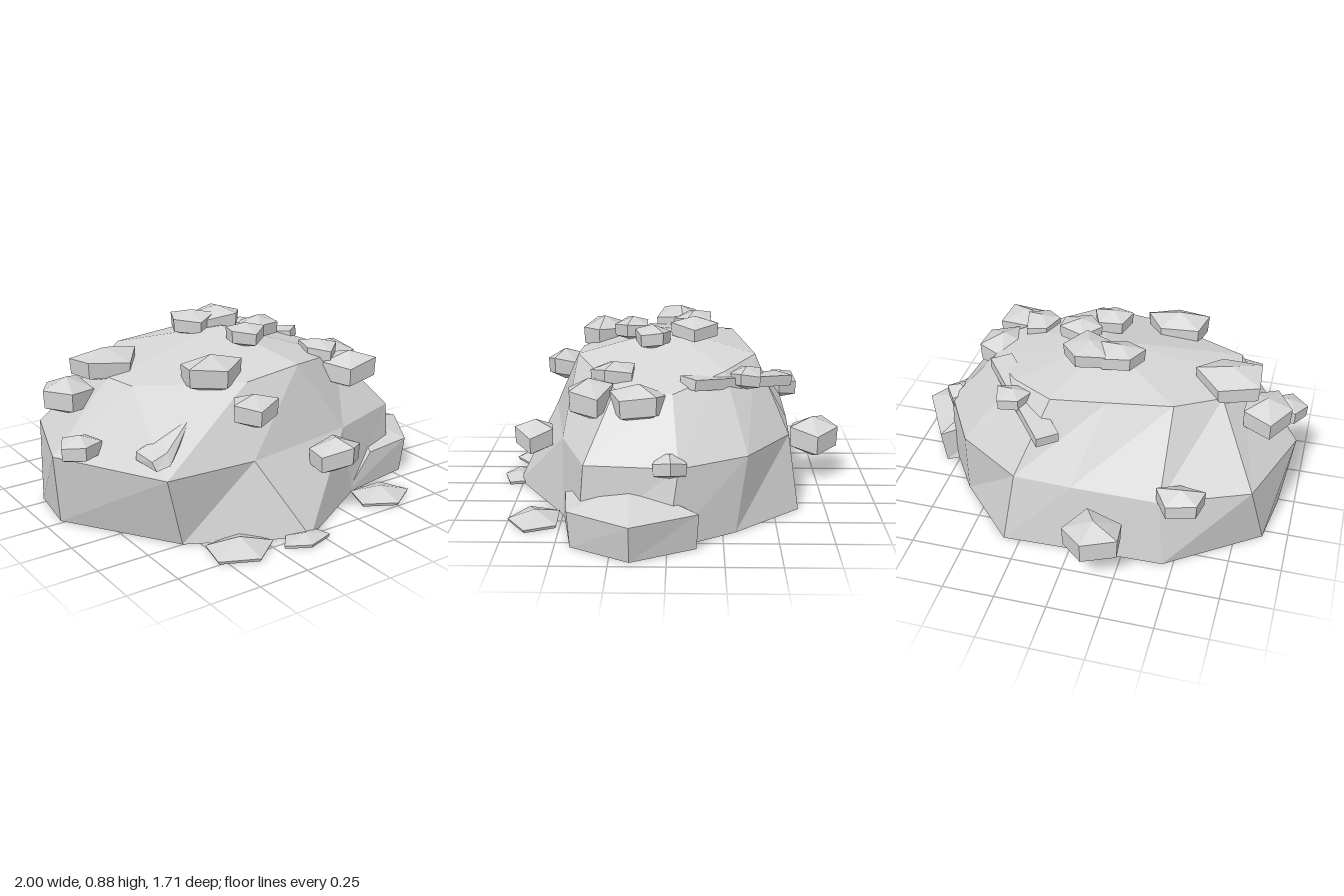
import * as THREE from 'three';

const stone = new THREE.MeshStandardMaterial({ color: 0xd5d5d5 });
stone.name = 'grey stone';

// Faceted solid: stacked rings of [x, y, z] (running -x, +z, +x, -z), closed by a top and a bottom point
function loft(name, rings, top, bottom) {
  const pos = [];
  const tri = (...corners) => corners.forEach((c) => pos.push(...c));
  const n = rings[0].length;
  for (let i = 0; i < n; i++) {
    const j = (i + 1) % n;
    for (let k = 0; k < rings.length - 1; k++) {
      const lo = rings[k], hi = rings[k + 1];
      tri(lo[i], lo[j], hi[j]);
      tri(lo[i], hi[j], hi[i]);
    }
    const last = rings[rings.length - 1];
    tri(last[i], last[j], top);
    tri(rings[0][j], rings[0][i], bottom);
  }
  const geo = new THREE.BufferGeometry();
  geo.setAttribute('position', new THREE.Float32BufferAttribute(pos, 3));
  geo.computeVertexNormals();
  const mesh = new THREE.Mesh(geo, stone);
  mesh.name = name;
  return mesh;
}

const atHeight = (y, points) => points.map(([x, z]) => [x, y, z]);

// Five-cornered outline around x, z, turned by an angle in degrees; wobble tilts the corners up and down
function pentagon(x, y, z, rx, rz, degrees, wobble = 0) {
  return Array.from({ length: 5 }, (_, i) => {
    const a = THREE.MathUtils.degToRad(degrees + i * 72);
    return [x - Math.cos(a) * rx, y + wobble * Math.sin(degrees + i * 2.9), z + Math.sin(a) * rz];
  });
}

// Chunk with near-vertical sides, a low pointed top and a pointed underside
function chunk(name, [x, y0, y1, z, rx, rz, degrees]) {
  const h = y1 - y0;
  return loft(name, [
    pentagon(x, y0 + h * 0.27, z, rx * 0.96, rz * 0.96, degrees, h * 0.07),
    pentagon(x, y0 + h * 0.74, z, rx, rz, degrees, h * 0.09),
  ], [x, y1, z], [x, y0, z]);
}

// Low flake resting on the ground
function flake(name, [x, h, z, rx, rz, degrees]) {
  return loft(name, [
    pentagon(x, 0, z, rx * 0.95, rz * 0.95, degrees),
    pentagon(x, 0.015, z, rx, rz, degrees),
  ], [x, h, z], [x, 0, z]);
}

export function createModel() {
  const model = new THREE.Group();
  model.name = 'rockMound';

  // Main boulder
  const base = atHeight(0, [
    [-0.92, -0.02], [-0.57, 0.5], [-0.05, 0.77], [0.42, 0.5], [0.74, 0.4],
    [0.82, 0], [0.62, -0.31], [0.33, -0.62], [0, -0.61], [-0.45, -0.6], [-0.88, -0.29]]);
  const waist = atHeight(0.36, [
    [-0.97, 0.04], [-0.68, 0.56], [-0.24, 0.59], [0.35, 0.5], [0.74, 0.37],
    [0.78, -0.05], [0.6, -0.36], [0.28, -0.57], [0, -0.58], [-0.42, -0.58], [-0.82, -0.41]]);
  const shoulder = [
    [-0.68, 0.69, 0.05], [-0.65, 0.69, 0.22], [-0.18, 0.68, 0.44], [0.11, 0.71, 0.44],
    [0.5, 0.64, 0.24], [0.55, 0.63, -0.02], [0.36, 0.69, -0.26], [0.14, 0.72, -0.41], [-0.12, 0.72, -0.37],
    [-0.42, 0.72, -0.32], [-0.62, 0.69, -0.16]];
  model.add(loft('boulder', [base, waist, shoulder], [-0.02, 0.81, 0], [0, 0, 0]));

  // Broad slab leaning on the left side
  model.add(loft('sideSlab', [
    atHeight(0, [[0.42, 0.1], [0.39, 0.5], [0.8, 0.43], [0.96, 0.16], [0.81, -0.13]]),
    [[0.55, 0.18, 0.1], [0.56, 0.17, 0.47], [0.82, 0.175, 0.44], [1, 0.175, 0.16], [0.83, 0.17, -0.14]],
  ], [0.68, 0.26, 0.17], [0.7, 0, 0.17]));

  // Chunks: x, bottom, top, z, x radius, z radius, turn
  [
    [-0.15, 0.11, 0.32, -0.73, 0.15, 0.13, -30], [-0.52, 0.32, 0.47, -0.59, 0.12, 0.09, 27],
    [-0.64, 0.64, 0.8, -0.05, 0.17, 0.14, -32], [-0.82, 0.5, 0.68, -0.09, 0.12, 0.14, 0],
    [-0.9, 0.37, 0.5, 0.18, 0.1, 0.09, 10], [-0.31, 0.63, 0.81, 0.34, 0.16, 0.11, 26],
    [-0.21, 0.5, 0.66, 0.54, 0.12, 0.09, 8], [0.18, 0.23, 0.4, 0.65, 0.14, 0.1, 30],
    [-0.12, 0.75, 0.88, -0.12, 0.12, 0.1, 15], [0.03, 0.75, 0.88, -0.12, 0.13, 0.12, 36],
    [-0.01, 0.75, 0.87, 0.18, 0.1, 0.09, 20], [0.13, 0.74, 0.86, 0.08, 0.11, 0.09, 0],
    [0.55, 0.5, 0.68, 0.13, 0.12, 0.14, 0], [0.38, 0.62, 0.74, 0.25, 0.09, 0.11, 15],
    [0.49, 0.5, 0.69, 0.36, 0.15, 0.11, -10], [0.75, 0.3, 0.42, -0.01, 0.07, 0.08, 40],
    [0.34, 0.6, 0.71, -0.36, 0.09, 0.08, 15],
  ].forEach((c, i) => model.add(chunk('chunk' + (i + 1), c)));

  // Ground flakes: x, height, z, x radius, z radius, turn
  [[0.5, 0.06, 0.62, 0.16, 0.13, 20], [-0.39, 0.07, 0.69, 0.17, 0.14, 25], [-0.09, 0.04, 0.78, 0.13, 0.075, 10]]
    .forEach((f, i) => model.add(flake('groundFlake' + (i + 1), f)));

  // Flat shard across the back left shoulder
  const plate = new THREE.Mesh(new THREE.BoxGeometry(0.11, 0.05, 0.6), stone);
  plate.name = 'backShard';
  plate.position.set(0.3, 0.63, -0.32);
  plate.rotation.set(-0.12, 0.68, 0, 'YXZ');
  model.add(plate);

  // Tapering wedge on the front right shoulder
  model.add(loft('frontWedge', [
    [[-0.74, 0.42, 0.4], [-0.72, 0.41, 0.54], [-0.65, 0.42, 0.54], [-0.47, 0.54, 0.42]],
    [[-0.74, 0.46, 0.4], [-0.73, 0.45, 0.52], [-0.65, 0.47, 0.51], [-0.47, 0.57, 0.42]],
  ], [-0.64, 0.5, 0.45], [-0.64, 0.45, 0.45]));

  return model;
}
